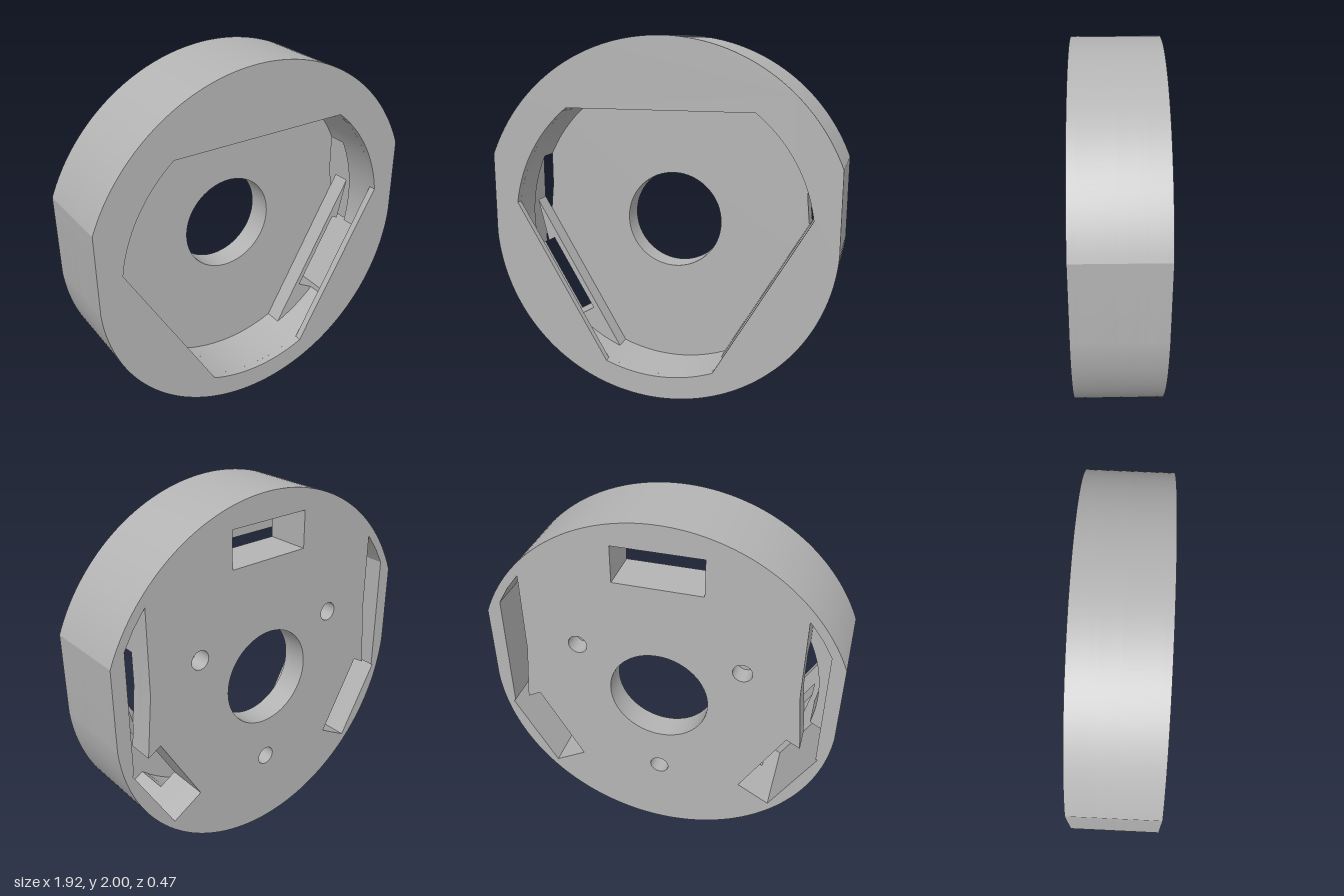
import * as THREE from 'three';

const CY = 0.965;            // height of the disc axis
const R_TOP = 1.035, R_LOW = 0.962, FLAT = 0.96;
const R_CAV = 0.833, CHORD = 0.655;
const Z = { back: -0.235, blind: -0.13, floor: -0.09, ledge: 0.01, lip: 0.195, front: 0.235 };

const polar = (r, a) => new THREE.Vector2(r * Math.cos(a), r * Math.sin(a));

// points along an arc about the axis
function arc(r, a0, a1, n) {
  return Array.from({ length: n + 1 }, (_, i) => polar(r, a0 + (a1 - a0) * i / n));
}

// outer rim: large upper arc, two side flats, smaller lower arc
function rimPoints() {
  const a = Math.acos(FLAT / R_TOP), b = Math.acos(FLAT / R_LOW);
  return [...arc(R_TOP, a, Math.PI - a, 72), ...arc(R_LOW, Math.PI + b, 2 * Math.PI - b, 96)];
}

// circle clipped by three chords
function cavityPoints() {
  const h = Math.acos(CHORD / R_CAV), pts = [];
  for (let i = 0; i < 3; i++) {
    const mid = Math.PI / 2 + i * Math.PI * 2 / 3;
    pts.push(...arc(R_CAV, mid + h, mid + Math.PI * 2 / 3 - h, 24));
  }
  return pts;
}

// turns a point so that the local up direction points at angle a
const place = (x, y, a) => new THREE.Vector2(x, y).rotateAround(new THREE.Vector2(), a - Math.PI / 2);

const IN = 0.685, OUT = 0.89, HALF = 0.24;
const slot = a => [[-HALF, IN], [HALF, IN], [HALF, OUT], [-HALF, OUT]].map(p => place(p[0], p[1], a));
const LOW_R = -Math.PI / 6;

// side cut joined to the lower slot, on the +x side
function sideCut() {
  const s = slot(LOW_R);           // s[0] is the upper inner corner, s[3] the upper outer one
  const along = s[0].clone().lerp(s[3], 0.43);
  const cut = [along, new THREE.Vector2(0.755, 0.17), new THREE.Vector2(0.755, 0.637),
    new THREE.Vector2(0.825, 0.545), new THREE.Vector2(0.88, 0.45),
    new THREE.Vector2(0.88, s[3].y + 0.006)];
  return [...cut, s[3], s[2], s[1], s[0]];
}
const mirror = pts => pts.map(p => new THREE.Vector2(-p.x, p.y));

// the cavity outline opened into the side cuts, for the layer between floor and ledge
function openCavityPoints() {
  const h = Math.acos(CHORD / R_CAV);
  const top = Math.PI / 2 - h, low = LOW_R + h;
  const s = slot(LOW_R);
  const yEnd = CHORD;                // chord plane
  const chordAt = t => place(t, yEnd, LOW_R);
  const aCut = Math.acos(0.755 / R_CAV);
  // right half, going from the bottom up to the top chord
  const half = [
    ...arc(R_CAV, -Math.PI / 2, LOW_R - h, 12),
    chordAt(-0.30),
    // wall strip ends beside the side cut
    polar(R_CAV, low).lerp(chordAt(-HALF), 0.12),
    s[0].clone().lerp(s[3], 0.2),
    s[0], s[1], s[2], s[3],
    new THREE.Vector2(0.88, s[3].y + 0.006), new THREE.Vector2(0.88, 0.45),
    new THREE.Vector2(0.825, 0.545), new THREE.Vector2(0.755, 0.637),
    new THREE.Vector2(0.755, R_CAV * Math.sin(aCut)),
    ...arc(R_CAV, aCut, top, 12).slice(1),
  ];
  // keep the chord wall simple: straight from the lower corner to its upper end
  half.splice(13, 1);
  return [...half, ...mirror(half).reverse().slice(0, -1)];
}

// extrudes an outline with holes between two depths
function layer(name, z0, z1, holes, material) {
  const shape = new THREE.Shape(rimPoints());
  for (const pts of holes) shape.holes.push(new THREE.Path(pts));
  const geo = new THREE.ExtrudeGeometry(shape, { depth: z1 - z0, bevelEnabled: false });
  geo.translate(0, CY, z0);
  const mesh = new THREE.Mesh(geo, material);
  mesh.name = name;
  return mesh;
}

export function createModel() {
  const grey = new THREE.MeshStandardMaterial({ color: 0xb4b4b4 });
  grey.name = 'plain grey';
  const group = new THREE.Group();
  group.name = 'slottedDisc';

  const circle = (r, c = new THREE.Vector2(), n = 32) =>
    arc(r, 0, Math.PI * 2, n).slice(0, -1).map(p => p.add(c));
  const bore = circle(0.275, undefined, 64);
  const right = sideCut();
  const cuts = [slot(Math.PI / 2), right, mirror(right)];
  const screws = [30, 150, 270].map(d => circle(0.053, polar(0.521, d * Math.PI / 180), 24));

  // floor plate with blind screw holes at the back
  group.add(layer('backPlate', Z.back, Z.blind, [bore, ...cuts, ...screws], grey));
  group.add(layer('cavityFloor', Z.blind, Z.floor, [bore, ...cuts], grey));
  // wall with the chord strips in front of the slots
  group.add(layer('chordWall', Z.floor, Z.ledge, [openCavityPoints(), slot(Math.PI / 2)], grey));
  // round groove with the slot ends opening into it
  const groove = [];
  const aEnd = Math.asin(HALF / OUT), mids = [Math.PI / 2, Math.PI * 7 / 6, Math.PI * 11 / 6];
  const half = Math.asin(HALF / R_CAV);
  mids.forEach(m => {
    groove.push(place(HALF, OUT, m), place(-HALF, OUT, m));
    groove.push(...arc(R_CAV, m + half, m + Math.PI * 2 / 3 - half, 32));
  });
  group.add(layer('grooveRing', Z.ledge, Z.lip, [groove], grey));
  // thin front lip
  group.add(layer('frontLip', Z.lip, Z.front, [cavityPoints()], grey));

  // smooth the round walls while keeping edges crisp
  group.traverse(o => { if (o.isMesh) smoothWalls(o.geometry); });
  return group;
}

// averages normals of side walls that meet at a shallow angle
function smoothWalls(geo) {
  const p = geo.attributes.position, n = geo.attributes.normal, map = new Map();
  const key = i => [p.getX(i), p.getY(i), p.getZ(i)].map(v => Math.round(v * 1e4)).join();
  const src = Array.from({ length: p.count }, (_, i) => new THREE.Vector3().fromBufferAttribute(n, i));
  src.forEach((_, i) => map.set(key(i), [...(map.get(key(i)) || []), i]));
  src.forEach((v, i) => {
    const sum = new THREE.Vector3();
    for (const j of map.get(key(i))) if (src[j].dot(v) > 0.97) sum.add(src[j]);
    sum.normalize();
    n.setXYZ(i, sum.x, sum.y, sum.z);
  });
}
